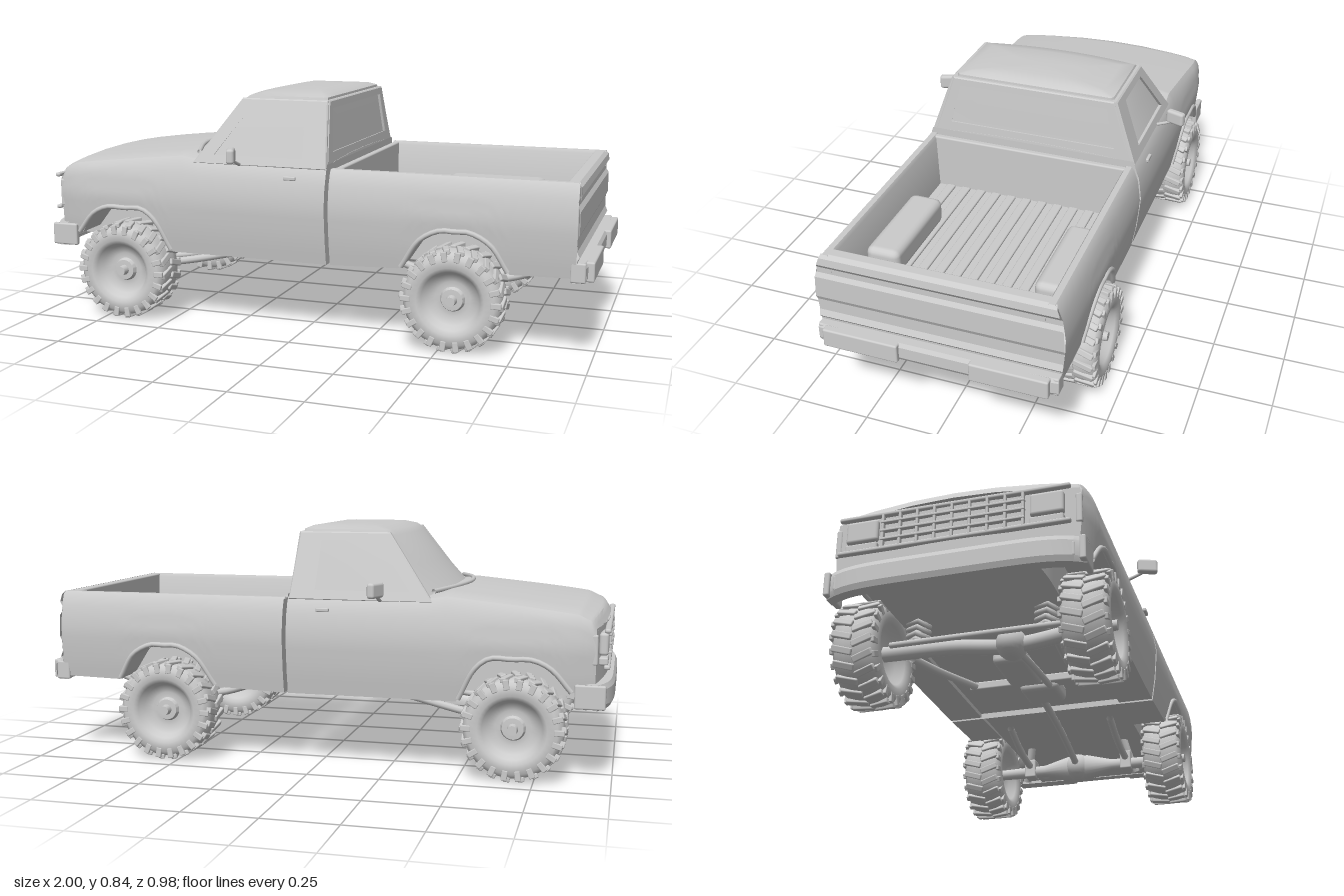
import * as THREE from 'three';
import { toCreasedNormals } from 'three/addons/utils/BufferGeometryUtils.js';
import { RoundedBoxGeometry } from 'three/addons/geometries/RoundedBoxGeometry.js';

const mat = new THREE.MeshStandardMaterial({ color: 0xcccccc, roughness: 0.8, side: THREE.DoubleSide });
const V = (x, y, z) => new THREE.Vector3(x, y, z);

// Piecewise linear lookup in a list of [key, value]
function lookup(table, k) {
  if (k <= table[0][0]) return table[0][1];
  for (let i = 1; i < table.length; i++) {
    const [a, va] = table[i - 1], [b, vb] = table[i];
    if (k <= b) return va + (vb - va) * (k - a) / (b - a);
  }
  return table[table.length - 1][1];
}

// Skin through rows of points
function loft(rows, crease = 0.6) {
  const n = rows[0].length, pos = [], idx = [];
  rows.forEach(r => r.forEach(p => pos.push(p.x, p.y, p.z)));
  for (let i = 0; i < rows.length - 1; i++)
    for (let j = 0; j < n - 1; j++) {
      const a = i * n + j, b = a + n;
      idx.push(a, a + 1, b, b, a + 1, b + 1);
    }
  const g = new THREE.BufferGeometry();
  g.setAttribute('position', new THREE.Float32BufferAttribute(pos, 3));
  g.setIndex(idx);
  g.computeVertexNormals();
  return toCreasedNormals(g, crease);
}
const steps = (a, b, n) => Array.from({ length: n + 1 }, (_, i) => a + (b - a) * i / n);
const mirrorSection = half => [...half, ...half.slice(0, -1).reverse().map(p => V(p.x, p.y, -p.z))];

// Body half width by height, hood/belt line and lower edge by length
const width = y => lookup([[0.25, 0.393], [0.34, 0.408], [0.45, 0.418], [0.53, 0.408], [0.585, 0.388], [0.62, 0.378]], y);
const topLine = x => lookup([[-0.975, 0.515], [-0.955, 0.545], [-0.9, 0.566], [-0.7, 0.588], [-0.45, 0.612], [-0.38, 0.602], [0.1, 0.598]], x);
const frontEdge = x => lookup([[-0.975, 0.32], [-0.87, 0.3], [-0.8, 0.38], [-0.74, 0.408], [-0.6, 0.408], [-0.55, 0.37], [-0.49, 0.255], [0.1, 0.255]], x);
const bedEdge = x => lookup([[0.11, 0.255], [0.36, 0.265], [0.43, 0.37], [0.5, 0.408], [0.6, 0.408], [0.67, 0.37], [0.73, 0.275], [0.95, 0.28]], x);

// Rounds the nose in plan
function nose(p) {
  const k = THREE.MathUtils.clamp((-0.8 - p.x) / 0.175, 0, 1);
  p.x += 0.035 * k * (p.z / 0.41) ** 2;
  p.z *= 1 - 0.05 * k * k;
  return p;
}

// Underside, wheel housing and outer side of a half section
const sideHalf = (x, b, top) => [V(x, 0.27, 0), V(x, 0.27, 0.27), V(x, b, 0.27),
  ...steps(b, top, 8).map(y => V(x, y, width(y)))];

// Cross panel that fills the body width
const panel = (xOf, ys) => loft(ys.map(y => steps(-1, 1, 12).map(t => nose(V(xOf(y), y, t * width(y))))), 0.35);

export function createModel() {
  const truck = new THREE.Group();
  const add = (name, geo, x = 0, y = 0, z = 0) => {
    const m = new THREE.Mesh(geo, mat);
    m.name = name;
    m.position.set(x, y, z);
    truck.add(m);
    return m;
  };
  const box = (name, w, h, d, x, y, z, r = 0.006) => add(name, new RoundedBoxGeometry(w, h, d, 2, r), x, y, z);
  const tube = (name, pts, r) => add(name, new THREE.TubeGeometry(
    new THREE.CatmullRomCurve3(pts.map(p => V(...p))), 20, r, 8));

  // Hood, fenders and lower cab
  add('frontBody', loft(steps(-0.975, 0.098, 110).map(x => {
    const t = topLine(x), s = t - 0.025;
    return mirrorSection([...sideHalf(x, frontEdge(x), s), V(x, t - 0.008, width(s) - 0.012),
      V(x, t, 0.34), V(x, t + 0.004, 0.28), V(x, t + 0.01, 0.14), V(x, t + 0.012, 0)].map(nose));
  })));
  add('noseFascia', panel(() => -0.975, steps(0.3, 0.515, 6)));
  add('cabBack', panel(() => 0.098, steps(0.255, 0.6, 8)));

  // Greenhouse: [y, front x, front sweep, rear x, half width]
  const levels = [[0.585, -0.48, 0.09, 0.086, 0.374], [0.7, -0.372, 0.06, 0.076, 0.335], [0.8, -0.278, 0.03, 0.068, 0.299],
    [0.818, -0.252, 0.03, 0.066, 0.292], [0.829, -0.2, 0.02, 0.045, 0.25], [0.834, -0.13, 0.01, 0, 0.15], [0.835, -0.08, 0, -0.08, 0.001]];
  add('greenhouse', loft(levels.map(([y, xf, sweep, xr, hw]) => {
    const ring = steps(-1, 1, 12).map(t => V(xf + sweep * t * t, y, t * hw));
    ring.push(V(xr - 0.012, y, hw), ...steps(0.97, -0.97, 6).map(t => V(xr, y, t * hw)), V(xr - 0.012, y, -hw));
    return [...ring, ring[0].clone()];
  }), 0.7));

  // Window frames, sheared to the lean of the cab
  const frame = (outer, hole, depth) => {
    const s = new THREE.Shape(outer.map(p => new THREE.Vector2(...p)));
    s.holes.push(new THREE.Path(hole.map(p => new THREE.Vector2(...p))));
    return new THREE.ExtrudeGeometry(s, { depth, bevelEnabled: true, bevelSize: 0.004, bevelThickness: 0.004, bevelSegments: 1 });
  };
  const shear = (g, axis, base, slope) => {
    const p = g.attributes.position;
    for (let i = 0; i < p.count; i++) p.setComponent(i, axis, p.getComponent(i, axis) + base + slope * (p.getY(i) - 0.585));
    g.computeVertexNormals();
    return g;
  };
  const doorFrame = shear(frame([[-0.4, 0.585], [-0.24, 0.806], [0.072, 0.806], [0.092, 0.585]],
    [[-0.325, 0.615], [-0.205, 0.782], [-0.005, 0.782], [0.005, 0.615]], 0.014), 2, 0.37, -0.35);
  const rearFrame = shear(frame([[-0.372, 0.585], [-0.298, 0.806], [0.298, 0.806], [0.372, 0.585]],
    [[-0.31, 0.635], [-0.275, 0.782], [0.275, 0.782], [0.31, 0.635]], 0.012).rotateY(Math.PI / 2), 0, 0.082, -0.08);
  add('rearWindowFrame', rearFrame);
  tube('wiperCowl', [[-0.4, 0.616, -0.34], [-0.46, 0.622, -0.17], [-0.48, 0.622, 0], [-0.46, 0.622, 0.17], [-0.4, 0.616, 0.34]], 0.008);

  // Cargo bed
  add('bed', loft(steps(0.112, 0.945, 90).map(x => mirrorSection([...sideHalf(x, bedEdge(x), 0.575),
    V(x, 0.587, 0.382), V(x, 0.587, 0.362), V(x, 0.575, 0.355), V(x, 0.385, 0.348), V(x, 0.385, 0)]))));
  add('bedFront', panel(() => 0.112, steps(0.255, 0.58, 8)));
  box('bedFrontWall', 0.024, 0.21, 0.74, 0.125, 0.48, 0);
  for (let i = 0; i < 11; i++) box('floorRib', 0.76, 0.012, 0.034, 0.52, 0.388, (i - 5) * 0.06, 0.005);

  // Tailgate with pressed panel
  box('tailgate', 0.04, 0.21, 0.75, 0.923, 0.482, 0);
  const press = [[0.28, 0.945], [0.34, 0.947], [0.35, 0.955], [0.37, 0.946], [0.41, 0.946], [0.425, 0.953],
    [0.5, 0.953], [0.515, 0.944], [0.535, 0.944], [0.55, 0.955], [0.575, 0.952], [0.587, 0.94]];
  add('tailgateSkin', panel(y => lookup(press, y), press.map(p => p[0])));

  // Bumpers
  const bumper = (name, dir, x, y, h, bend, halfW) => add(name, loft(steps(-1, 1, 24).map(t => {
    const cx = x - dir * bend * Math.abs(t) ** 6;
    const d = 0.045, r = h / 2;
    return [[-d, -r], [-0.008, -r], [0, -r * 0.6], [0, r * 0.6], [-0.008, r], [-d, r], [-d, -r]]
      .map(([a, b]) => V(cx + dir * a, y + b, t * halfW));
  }), 0.4));
  bumper('frontBumper', -1, -1, 0.292, 0.085, 0.045, 0.41);
  bumper('rearBumper', 1, 0.985, 0.3, 0.066, 0.008, 0.405);
  box('frontBumperBar', 0.05, 0.05, 0.76, -0.95, 0.29, 0);
  for (const s of [-1, 1]) {
    box('frontBumperEnd', 0.1, 0.08, 0.02, -0.925, 0.292, s * 0.402);
    box('rearBumperEnd', 0.05, 0.066, 0.02, 0.95, 0.3, s * 0.396);
    box('rearBumperStep', 0.03, 0.066, 0.26, 0.985, 0.3, s * 0.25);
  }

  // Grille
  box('grilleTop', 0.02, 0.014, 0.74, -0.974, 0.505, 0);
  box('grilleBottom', 0.02, 0.014, 0.74, -0.974, 0.385, 0);
  for (let i = 0; i < 3; i++) box('grilleBar', 0.016, 0.009, 0.46, -0.978, 0.415 + i * 0.03, 0, 0.003);
  for (let i = -4; i <= 4; i++) box('grillePost', 0.016, 0.12, 0.009, -0.976, 0.445, i * 0.056, 0.003);

  // Paired parts on both sides
  for (const s of [-1, 1]) {
    add('doorFrame', doorFrame).scale.z = s;
    box('headlight', 0.03, 0.075, 0.105, -0.962, 0.458, s * 0.295, 0.01);
    box('turnSignal', 0.03, 0.026, 0.105, -0.962, 0.402, s * 0.295);
    box('markerLight', 0.035, 0.1, 0.02, -0.928, 0.445, s * 0.386);
    box('doorHandle', 0.045, 0.014, 0.012, -0.03, 0.55, s * 0.407, 0.004);
    const mirror = box('mirror', 0.028, 0.052, 0.072, -0.225, 0.626, s * 0.456, 0.01);
    mirror.rotation.y = s * 0.35;
    tube('mirrorArm', [[-0.225, 0.585, s * 0.385], [-0.225, 0.598, s * 0.42], [-0.225, 0.61, s * 0.445]], 0.006);
    box('wheelHousing', 0.37, 0.095, 0.12, 0.545, 0.43, s * 0.295, 0.025);
    const lip = (name, xs, edge) => tube(name, xs.map(x => [x, edge(x), s * (width(edge(x)) + 0.001)]), 0.009);
    lip('frontArchLip', [-0.865, -0.8, -0.74, -0.67, -0.6, -0.55, -0.495], frontEdge);
    lip('rearArchLip', [0.365, 0.43, 0.5, 0.55, 0.6, 0.67, 0.725], bedEdge);
    // Chassis and suspension
    tube('frontArm', [[-0.66, 0.16, s * 0.24], [-0.5, 0.185, s * 0.22], [-0.2, 0.25, s * 0.19]], 0.014);
    tube('leafSpring', [[0.25, 0.26, s * 0.2], [0.4, 0.21, s * 0.2], [0.545, 0.195, s * 0.2], [0.7, 0.215, s * 0.2], [0.84, 0.265, s * 0.2]], 0.014);
    tube('frontCoil', steps(0, 60, 48).map(i => [-0.68 + 0.034 * Math.cos(i / 60 * 31), 0.19 + i * 0.0018, s * 0.215 + 0.034 * Math.sin(i / 60 * 31)]), 0.009);
    tube('rearShock', [[0.58, 0.15, s * 0.23], [0.55, 0.21, s * 0.21], [0.52, 0.29, s * 0.19]], 0.016);
    box('springClamp', 0.06, 0.075, 0.045, 0.545, 0.185, s * 0.2);
  }

  // Wheels: tyre and dished rim turned from one profile, plus lugs
  const profile = [[0, -0.03], [0.08, -0.04], [0.1, -0.065], [0.115, -0.075], [0.148, -0.073], [0.163, -0.06], [0.168, -0.03], [0.168, 0.03],
    [0.163, 0.06], [0.148, 0.073], [0.115, 0.075], [0.1, 0.065], [0.088, 0.04], [0.06, 0.028], [0.042, 0.03], [0.036, 0.044], [0, 0.046]];
  const wheelGeo = toCreasedNormals(new THREE.LatheGeometry(profile.map(p => new THREE.Vector2(...p)), 40).rotateX(Math.PI / 2), 0.8);
  const capGeo = new THREE.CylinderGeometry(0.016, 0.019, 0.03, 14).rotateX(Math.PI / 2);
  const lugGeo = new RoundedBoxGeometry(0.022, 0.018, 0.07, 1, 0.004);
  const shoulderGeo = new RoundedBoxGeometry(0.02, 0.035, 0.012, 1, 0.003);
  for (const x of [-0.68, 0.545]) for (const s of [-1, 1]) {
    const wheel = new THREE.Group();
    wheel.name = 'wheel';
    const part = (name, geo) => { const m = new THREE.Mesh(geo, mat); m.name = name; wheel.add(m); return m; };
    part('tyreAndRim', wheelGeo);
    part('hubCap', capGeo).position.z = 0.055;
    for (let i = 0; i < 44; i++) {
      const a = i / 44 * Math.PI * 2, side = i % 2 ? 1 : -1;
      const lug = part('treadLug', lugGeo);
      lug.position.set(Math.sin(a) * 0.167, Math.cos(a) * 0.167, side * 0.033);
      lug.rotation.set(0, side * 0.3, -a, 'ZYX');
      const sh = part('shoulderLug', shoulderGeo);
      sh.position.set(Math.sin(a) * 0.153, Math.cos(a) * 0.153, side * 0.07);
      sh.rotation.z = -a;
    }
    wheel.position.set(x, 0.176, s * 0.367);
    wheel.scale.z = s;
    truck.add(wheel);
  }

  // Axles, differentials and driveline
  const ball = (name, r, x, y, z, sx = 1) => add(name, new THREE.SphereGeometry(r, 20, 14), x, y, z).scale.set(sx, 1, 1);
  const axle = [[0.02, -0.33], [0.024, -0.14], [0.05, -0.04], [0.05, 0.04], [0.024, 0.14], [0.02, 0.33]].map(p => new THREE.Vector2(...p));
  add('rearAxle', new THREE.LatheGeometry(axle, 20).rotateX(Math.PI / 2), 0.545, 0.175, 0);
  ball('rearDifferential', 0.056, 0.545, 0.175, 0, 1.2);
  tube('frontAxle', [[-0.68, 0.176, -0.33], [-0.68, 0.17, -0.1], [-0.68, 0.15, 0.1], [-0.68, 0.176, 0.33]], 0.026);
  ball('frontDifferential', 0.05, -0.68, 0.155, 0.1, 1.2);
  tube('steeringRod', [[-0.75, 0.17, -0.28], [-0.76, 0.165, 0], [-0.75, 0.17, 0.28]], 0.01);
  tube('rearDriveshaft', [[-0.05, 0.235, 0.02], [0.25, 0.215, 0.01], [0.5, 0.18, 0]], 0.014);
  tube('frontDriveshaft', [[-0.15, 0.235, 0.08], [-0.4, 0.2, 0.09], [-0.64, 0.16, 0.1]], 0.012);
  box('transferCase', 0.14, 0.06, 0.14, -0.12, 0.245, 0.04, 0.02);
  box('gearbox', 0.22, 0.05, 0.12, -0.3, 0.255, 0, 0.02);
  box('crossmember', 0.05, 0.03, 0.42, -0.18, 0.25, 0);
  return truck;
}
